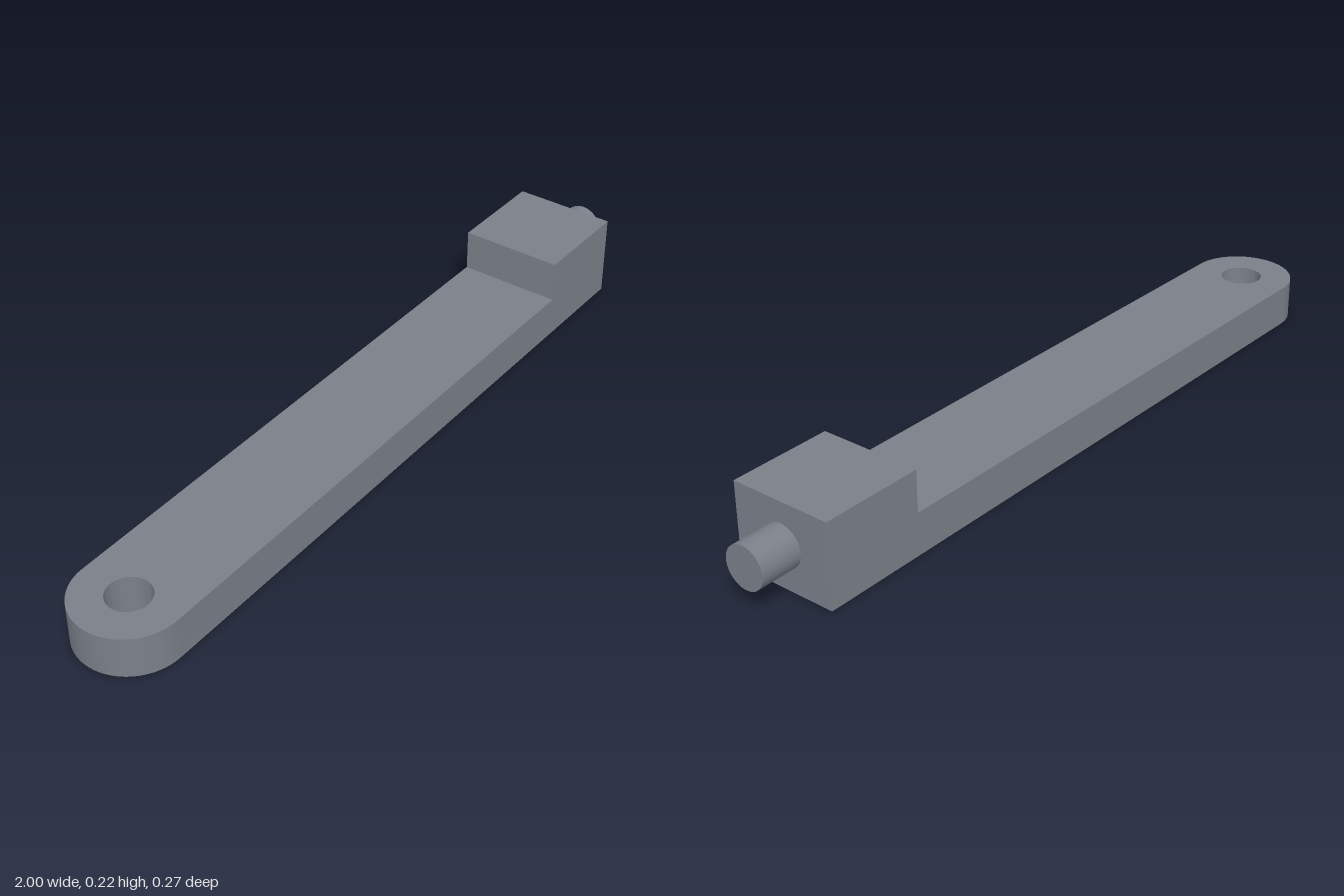
import * as THREE from 'three';
import { toCreasedNormals } from 'three/addons/utils/BufferGeometryUtils.js';

const HALF = 0.135;       // half the width of the bar
const THICK = 0.108;      // bar thickness, half the block height
const BORE = 0.054;       // radius of the hole and the pin
const EYE_X = -0.865;     // centre of the rounded end
const STEP_X = 0.622;     // where the bar meets the block
const BLOCK_END = 0.892;

export function createModel() {
  const group = new THREE.Group();
  const material = new THREE.MeshStandardMaterial({ color: 0x7b8089 });
  const add = (name, geometry, x = 0, y = 0) => {
    const mesh = new THREE.Mesh(geometry, material);
    mesh.name = name;
    mesh.position.set(x, y, 0);
    group.add(mesh);
  };

  // Flat bar with a rounded end and a through hole
  const outline = new THREE.Shape();
  outline.moveTo(STEP_X, -HALF);
  outline.lineTo(STEP_X, HALF);
  outline.lineTo(EYE_X, HALF);
  outline.absarc(EYE_X, 0, HALF, Math.PI / 2, Math.PI * 1.5, false);
  outline.closePath();
  const hole = new THREE.Path();
  hole.absarc(EYE_X, 0, BORE, 0, Math.PI * 2, true);
  outline.holes.push(hole);
  const bar = new THREE.ExtrudeGeometry(outline, { depth: THICK, bevelEnabled: false, curveSegments: 32 });
  bar.rotateX(-Math.PI / 2);
  add('arm', toCreasedNormals(bar, Math.PI / 6));

  // Raised end block
  const length = BLOCK_END - STEP_X;
  add('endBlock', new THREE.BoxGeometry(length, THICK * 2, HALF * 2), STEP_X + length / 2, THICK);

  // Round pin projecting from the block
  const pinLength = 1 - BLOCK_END;
  const pin = new THREE.CylinderGeometry(BORE, BORE, pinLength, 48);
  pin.rotateZ(-Math.PI / 2);
  add('pin', pin, BLOCK_END + pinLength / 2, THICK);

  return group;
}
